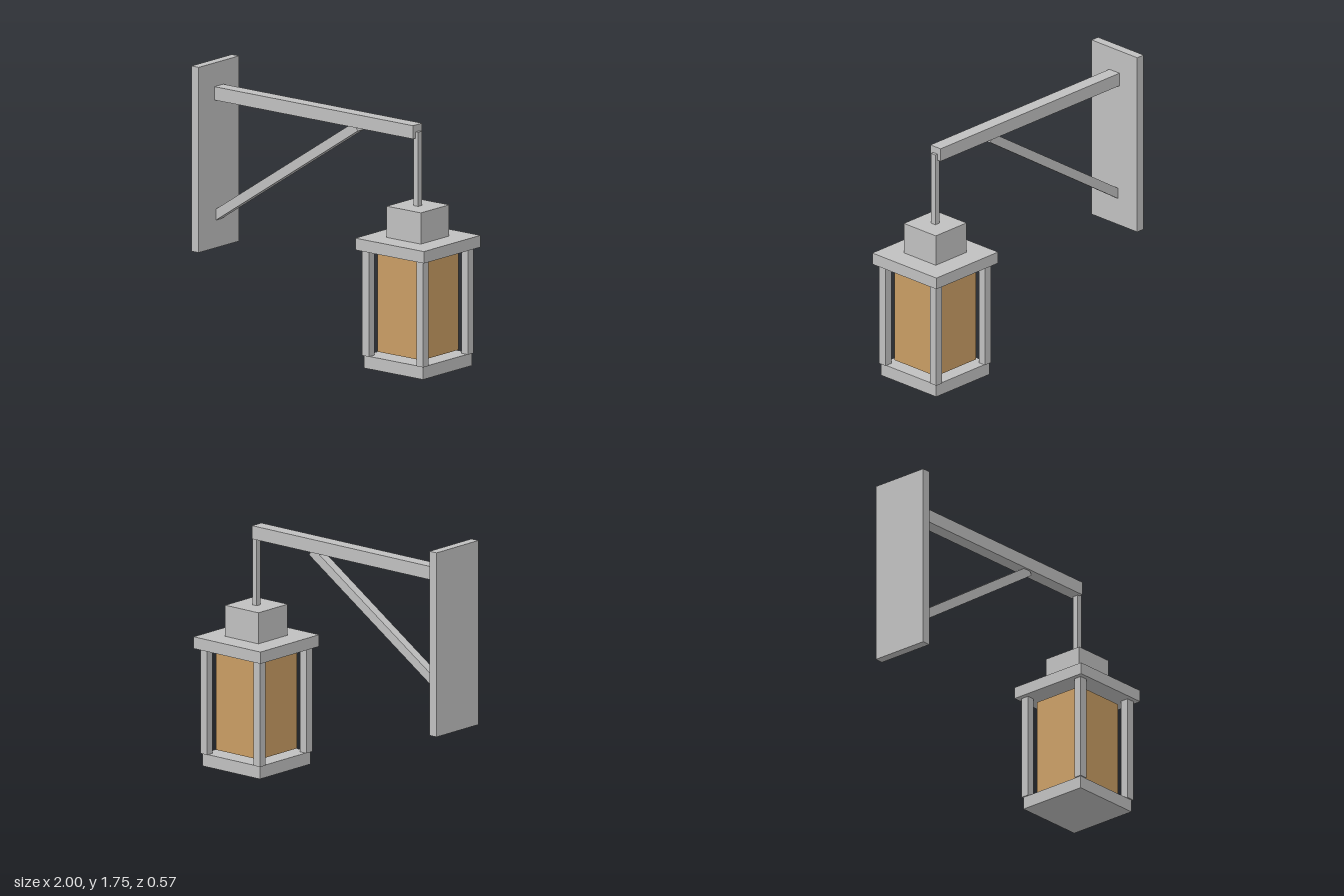
import * as THREE from 'three';

export function createModel() {
  const model = new THREE.Group();
  model.name = 'wallLantern';

  const metal = new THREE.MeshStandardMaterial({ color: 0xc0c0c0 });
  metal.name = 'grey metal';
  const amber = new THREE.MeshStandardMaterial({ color: 0xc99d64 });
  amber.name = 'amber glass';

  // Box spanning x0..x1 and y0..y1, centred on z with the given depth
  function block(parent, name, x0, x1, y0, y1, depth, material = metal, z = 0) {
    const mesh = new THREE.Mesh(new THREE.BoxGeometry(x1 - x0, y1 - y0, depth), material);
    mesh.position.set((x0 + x1) / 2, (y0 + y1) / 2, z);
    mesh.name = name;
    parent.add(mesh);
    return mesh;
  }

  // Wall bracket
  block(model, 'wallPlate', -1, -0.94, 0.533, 1.755, 0.406);
  block(model, 'arm', -0.94, 0.712, 1.51, 1.598, 0.09);

  // Diagonal brace from the plate up to the arm
  const foot = new THREE.Vector2(-0.965, 0.735);
  const head = new THREE.Vector2(0.223, 1.512);
  const span = head.clone().sub(foot);
  const brace = new THREE.Mesh(new THREE.BoxGeometry(span.length(), 0.061, 0.061), metal);
  brace.position.set((foot.x + head.x) / 2, (foot.y + head.y) / 2, 0);
  brace.rotation.z = span.angle();
  brace.name = 'brace';
  model.add(brace);

  // Hanging rod at the end of the arm
  block(model, 'hangingRod', 0.696, 0.733, 1.06, 1.553, 0.038);

  // Lantern, square in plan about its own axis
  const lantern = new THREE.Group();
  lantern.name = 'lantern';
  lantern.position.x = 0.715;
  model.add(lantern);
  const square = (name, half, y0, y1, material) =>
    block(lantern, name, -half, half, y0, y1, half * 2, material);
  square('cap', 0.142, 0.858, 1.064);
  square('roof', 0.285, 0.78, 0.858);
  square('glass', 0.184, 0.106, 0.757, amber);
  square('base', 0.245, 0, 0.083);

  // Corner posts
  for (const sx of [-1, 1]) {
    for (const sz of [-1, 1]) {
      const x = sx * 0.226;
      block(lantern, 'cornerPost', x - 0.0275, x + 0.0275, 0.083, 0.78, 0.055, metal, sz * 0.226);
    }
  }

  return model;
}
